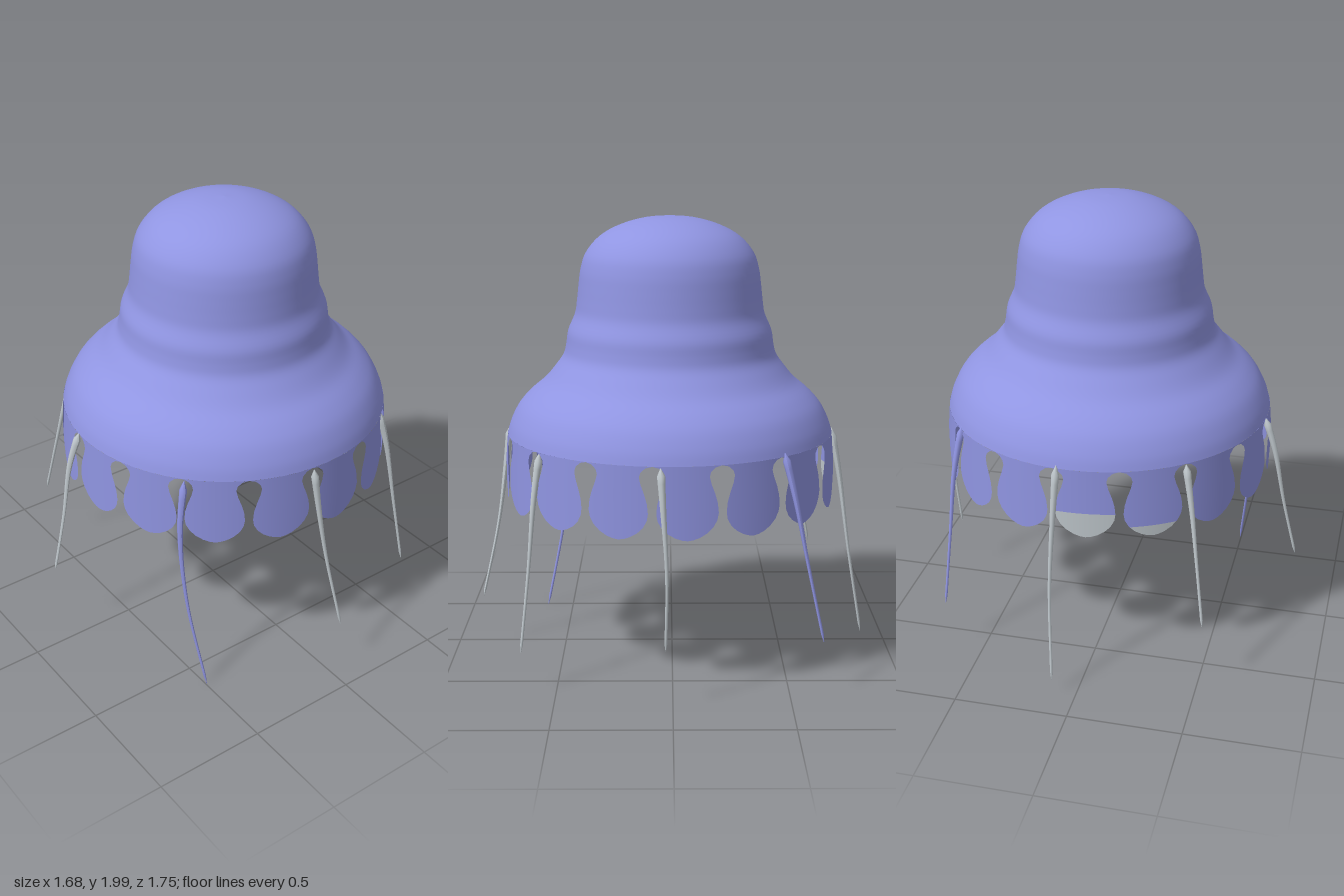
import * as THREE from 'three';

const CX = 0.052, CZ = 0.01, STEP = Math.PI / 8, OFFSET = -5.8 * Math.PI / 180;

// Linear lookup in a short table of [key, value] with descending keys
function lookup(table, key) {
  for (let i = 1; i < table.length; i++) {
    const [k0, v0] = table[i - 1], [k1, v1] = table[i];
    if (key >= k1) return v0 + (v1 - v0) * (k0 - key) / (k0 - k1);
  }
  return table[table.length - 1][1];
}

// Half width of the keyhole notch between two lappets, by height
const NOTCH = [[1.045, 0], [1.038, 0.028], [1.02, 0.048], [1.0, 0.054], [0.97, 0.047], [0.93, 0.032],
  [0.89, 0.021], [0.85, 0.017], [0.82, 0.022], [0.79, 0.038], [0.765, 0.064], [0.747, 0.095], [0.738, 0.122], [0.735, 0.143]];
const SKIRT = [[1.045, 0.729], [0.95, 0.738], [0.85, 0.739], [0.735, 0.735]];

// Curved lappet patch between two heights
function lappetGeometry(angle, top, bottom) {
  const heights = [top, ...NOTCH.map(n => n[0]).filter(y => y < top && y > bottom), bottom];
  const cols = 8, pos = [], nor = [], idx = [];
  heights.forEach((y, j) => {
    const r = lookup(SKIRT, y), half = STEP / 2 - lookup(NOTCH, y) / r;
    for (let i = 0; i <= cols; i++) {
      const a = angle + half * (2 * i / cols - 1);
      pos.push(r * Math.sin(a), y, r * Math.cos(a));
      nor.push(Math.sin(a), 0, Math.cos(a));
      if (j && i) {
        const d = j * (cols + 1) + i, c = d - 1, b = d - cols - 1, t = b - 1;
        idx.push(t, c, b, b, c, d);
      }
    }
  });
  const g = new THREE.BufferGeometry();
  g.setAttribute('position', new THREE.Float32BufferAttribute(pos, 3));
  g.setAttribute('normal', new THREE.Float32BufferAttribute(nor, 3));
  g.setIndex(idx);
  return g;
}

// Thin tube narrowing from root to tip
function tentacleGeometry(points) {
  const curve = new THREE.CatmullRomCurve3(points.map(p => new THREE.Vector3(...p)));
  const rings = 24, sides = 8;
  const g = new THREE.TubeGeometry(curve, rings, 1, sides);
  const p = g.attributes.position, v = new THREE.Vector3();
  for (let i = 0; i <= rings; i++) {
    const t = i / rings, c = curve.getPointAt(t);
    const r = i === 0 || i === rings ? 0.001 : 0.006 + 0.012 * Math.pow(1 - t, 2.5);
    for (let j = 0; j <= sides; j++) {
      const k = i * (sides + 1) + j;
      v.fromBufferAttribute(p, k).sub(c).multiplyScalar(r).add(c);
      p.setXYZ(k, v.x, v.y, v.z);
    }
  }
  g.computeVertexNormals();
  return g;
}

export function createModel() {
  const model = new THREE.Group();
  const blue = new THREE.MeshStandardMaterial({ color: 0x9095e2, side: THREE.DoubleSide });
  blue.name = 'periwinkle';
  const grey = new THREE.MeshStandardMaterial({ color: 0xbfc7cc, side: THREE.DoubleSide });
  grey.name = 'pale grey';
  const add = (parent, name, geometry, material) => {
    const mesh = new THREE.Mesh(geometry, material);
    mesh.name = name;
    parent.add(mesh);
    return mesh;
  };

  const body = new THREE.Group();
  body.name = 'body';
  body.position.set(CX, 0, CZ);
  model.add(body);

  // Bell: domed crown, soft waist rings and a flared shoulder
  const profile = [[0.729, 1.045], [0.712, 1.1], [0.675, 1.17], [0.625, 1.225], [0.56, 1.28], [0.51, 1.34],
    [0.475, 1.39], [0.462, 1.44], [0.452, 1.5], [0.422, 1.57], [0.412, 1.63], [0.404, 1.7], [0.394, 1.77],
    [0.37, 1.84], [0.31, 1.91], [0.22, 1.96], [0.11, 1.991], [0, 2]];
  const smooth = new THREE.SplineCurve(profile.map(p => new THREE.Vector2(...p))).getPoints(68);
  smooth.forEach(p => { p.x = Math.max(p.x, 0); });
  add(body, 'bell', new THREE.LatheGeometry(smooth, 64), blue);

  // Ring of lappets; two at the back have pale tips
  const paleTips = { 8: 0.85, 9: 0.785 };
  for (let i = 0; i < 16; i++) {
    const angle = OFFSET + (i + 0.5) * STEP, cut = paleTips[i];
    add(body, 'lappet', lappetGeometry(angle, 1.045, cut || 0.735), blue);
    if (cut) add(body, 'lappetTip', lappetGeometry(angle, cut, 0.735), grey);
  }

  // Pale lobes lining the inside of the bell
  const lobe = new THREE.SphereGeometry(1, 20, 16);
  const lp = lobe.attributes.position;
  for (let i = 0; i < lp.count; i++) {
    const y = lp.getY(i), w = 0.066 - 0.022 * y;
    lp.setXYZ(i, lp.getX(i) * w, y * 0.27, lp.getZ(i) * 0.03);
  }
  lobe.computeVertexNormals();
  for (let i = 0; i < 8; i++) {
    const arm = new THREE.Group();
    arm.name = 'innerLobe';
    arm.rotation.y = OFFSET + i * 2 * STEP;
    const mesh = add(arm, 'lobe', lobe, grey);
    mesh.position.set(0, 1.36, 0.43);
    mesh.rotation.x = -0.5;
    body.add(arm);
  }

  // Trailing tentacles: root, middle points and tip
  const tentacles = [
    [grey, [-0.02, 1.04, 0.742], [-0.005, 0.85, 0.765], [0.02, 0.6, 0.8], [0.06, 0.25, 0.875]],
    [grey, [0.51, 1.04, 0.56], [0.55, 0.85, 0.585], [0.595, 0.55, 0.61], [0.645, 0.2, 0.645]],
    [grey, [0.78, 1.04, 0.05], [0.815, 0.88, 0.04], [0.835, 0.6, 0.025], [0.812, 0.27, 0.03]],
    [blue, [0.6, 1.06, -0.465], [0.63, 0.85, -0.515], [0.642, 0.6, -0.565], [0.658, 0.25, -0.64]],
    [grey, [0.105, 1.06, -0.715], [0.112, 0.85, -0.755], [0.12, 0.5, -0.805], [0.1, 0.09, -0.875]],
    [grey, [-0.41, 1.04, -0.55], [-0.445, 0.85, -0.59], [-0.475, 0.65, -0.63], [-0.52, 0.34, -0.69]],
    [grey, [-0.675, 1.05, -0.065], [-0.725, 0.9, -0.075], [-0.775, 0.65, -0.07], [-0.84, 0.38, -0.065]],
    [blue, [-0.505, 1.04, 0.485], [-0.54, 0.8, 0.5], [-0.538, 0.45, 0.54], [-0.495, 0.01, 0.625]],
  ];
  for (const [material, ...points] of tentacles) add(model, 'tentacle', tentacleGeometry(points), material);

  return model;
}
